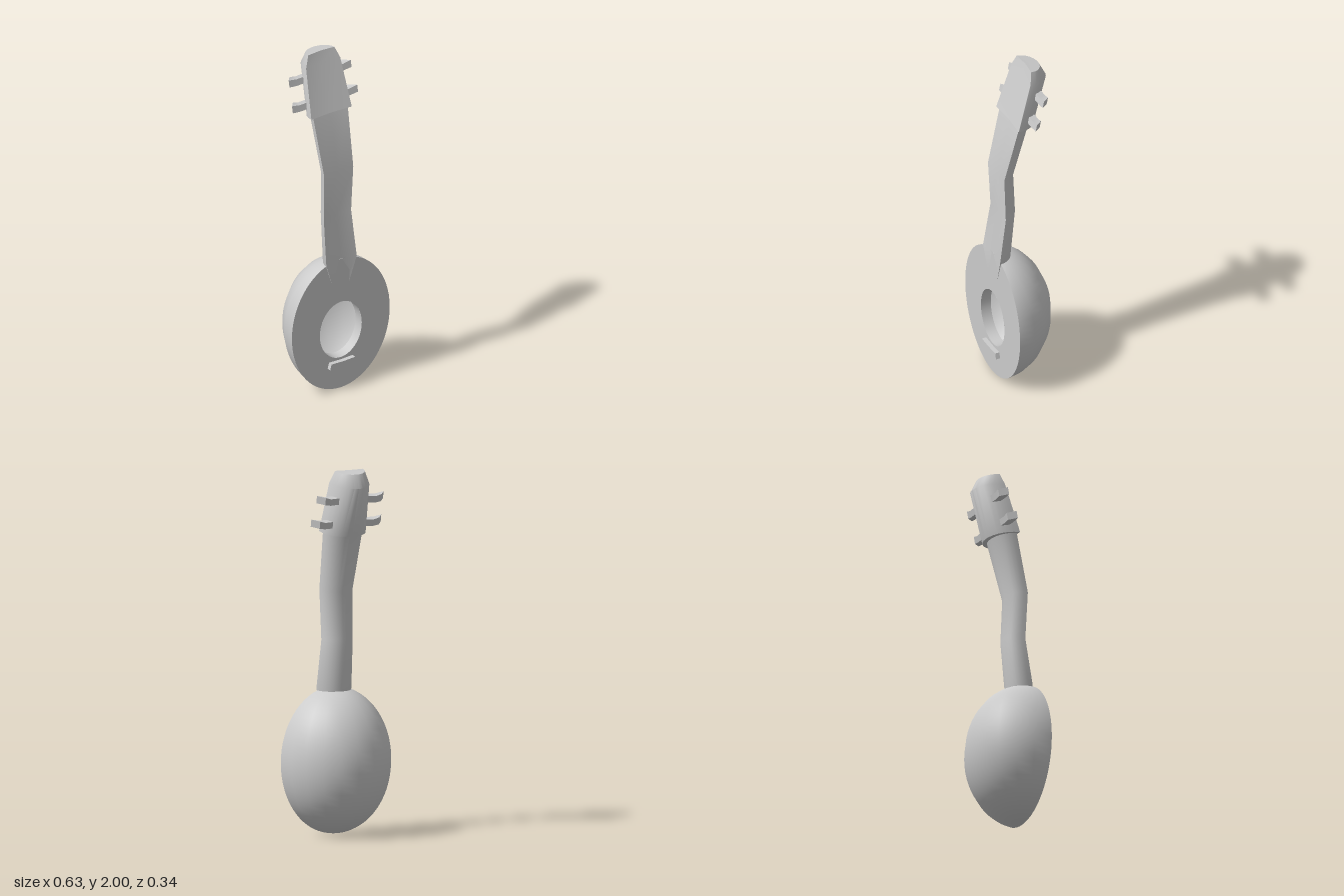
import * as THREE from 'three';
import { toCreasedNormals } from 'three/addons/utils/BufferGeometryUtils.js';

const grey = new THREE.MeshStandardMaterial({ color: 0xcccccc });
const greyDouble = new THREE.MeshStandardMaterial({ color: 0xcccccc, side: THREE.DoubleSide });

const FACE_Z = 0.145;

function addMesh(parent, name, geometry, material = grey) {
  const mesh = new THREE.Mesh(geometry, material);
  mesh.name = name;
  parent.add(mesh);
  return mesh;
}

// Skin a stack of closed rings (arrays of Vector3) and cap both ends
function loft(rings, crease) {
  const n = rings[0].length;
  const pos = [];
  const tri = (...pts) => pts.forEach((p) => pos.push(p.x, p.y, p.z));
  for (let i = 0; i < rings.length - 1; i++) {
    for (let j = 0; j < n; j++) {
      const k = (j + 1) % n;
      const a = rings[i][j], b = rings[i][k], c = rings[i + 1][k], d = rings[i + 1][j];
      tri(a, b, c);
      tri(a, c, d);
    }
  }
  const cap = (ring, flip) => {
    const mid = ring.reduce((s, p) => s.add(p), new THREE.Vector3()).divideScalar(n);
    for (let j = 0; j < n; j++) {
      const k = (j + 1) % n;
      if (flip) tri(mid, ring[k], ring[j]);
      else tri(mid, ring[j], ring[k]);
    }
  };
  cap(rings[0], true);
  cap(rings[rings.length - 1], false);
  const g = new THREE.BufferGeometry();
  g.setAttribute('position', new THREE.Float32BufferAttribute(pos, 3));
  return toCreasedNormals(g, crease);
}

// D-shaped section: round back, faintly hollowed front
function dRing([halfWidth, yFront, zFront, yBack, zBack]) {
  const ring = [];
  const steps = 14;
  for (let i = 0; i <= steps; i++) {
    const a = (Math.PI * i) / steps;
    const t = Math.pow(Math.sin(a), 0.9);
    ring.push(new THREE.Vector3(
      halfWidth * Math.cos(a),
      THREE.MathUtils.lerp(yFront, yBack, t),
      THREE.MathUtils.lerp(zFront, zBack, t)));
  }
  ring.push(new THREE.Vector3(0, yFront, zFront - 0.008));
  return ring;
}

function createBody() {
  const body = new THREE.Group();
  body.name = 'body';

  // Half-egg bowl, seen from inside through the sound hole
  const bowl = new THREE.SphereGeometry(1, 10, 32, Math.PI, Math.PI);
  bowl.scale(0.315, 0.4, 0.315);
  bowl.translate(0, 0.4, FACE_Z);
  addMesh(body, 'bowl', bowl, greyDouble);

  // Flat front with an oval hole
  const outline = new THREE.Shape();
  outline.absellipse(0, 0.4, 0.315, 0.4, 0, Math.PI * 2);
  const hole = new THREE.Path();
  hole.absellipse(0, 0.36, 0.135, 0.172, 0, Math.PI * 2);
  outline.holes.push(hole);
  const face = new THREE.ShapeGeometry(outline, 32);
  face.translate(0, 0, FACE_Z);
  addMesh(body, 'soundboard', face, greyDouble);

  // Wall of the hole
  const depth = 0.06;
  const wall = new THREE.CylinderGeometry(1, 1, depth, 48, 1, true);
  wall.rotateX(Math.PI / 2);
  wall.scale(0.135, 0.172, 1);
  wall.translate(0, 0.36, FACE_Z - depth / 2);
  addMesh(body, 'soundHoleWall', wall, greyDouble);

  // Bridge bar below the hole
  const bar = new THREE.Shape([
    [-0.085, 0.143], [0, 0.138], [0.085, 0.143],
    [0.076, 0.177], [0, 0.174], [-0.076, 0.177],
  ].map(([x, y]) => new THREE.Vector2(x, y)));
  const bridge = new THREE.ExtrudeGeometry(bar, { depth: 0.035, bevelEnabled: false });
  bridge.translate(0, 0, 0.135);
  addMesh(body, 'bridge', bridge);
  return body;
}

function createPegs() {
  const pegs = new THREE.Group();
  pegs.name = 'tuningPegs';
  // Section: [front x, back x, centre y, half height]
  const pegRing = (z, [xf, xb, y, h]) => [[-1, -1], [1, -1], [1, 1], [-1, 1]].map(([v, w]) =>
    new THREE.Vector3(w > 0 ? xf : xb, y + v * h + w * 0.004, z + w * 0.021 - v * 0.004));
  for (const [y, z, reach] of [[1.845, -0.078, 0.2], [1.711, -0.03, 0.21]]) {
    const rings = [
      [0.07, 0.07, y, 0.018],
      [reach - 0.05, reach - 0.065, y - 0.003, 0.018],
      [reach, reach - 0.033, y + 0.004, 0.02],
    ].map((s) => pegRing(z, s));
    const geometry = loft(rings, 0.3);
    for (const side of [1, -1]) {
      addMesh(pegs, side > 0 ? 'leftPeg' : 'rightPeg', geometry).scale.x = side;
    }
  }
  return pegs;
}

export function createModel() {
  const model = new THREE.Group();
  model.name = 'lute';
  model.add(createBody());

  // Sections: [half width, front y, front z, back y, back z]
  const neck = [
    [0.04, 0.6, 0.143, 0.6, 0.08],
    [0.098, 0.79, 0.152, 0.785, 0.05],
    [0.088, 1.06, 0.112, 1.07, 0.022],
    [0.094, 1.335, 0.124, 1.325, 0.035],
    [0.113, 1.69, 0.038, 1.66, -0.06],
  ];
  addMesh(model, 'neck', loft(neck.map(dRing), 0.7));

  const head = [
    [0.13, 1.662, 0.055, 1.64, -0.084],
    [0.11, 1.935, -0.027, 1.912, -0.165],
    [0.084, 2.0, -0.045, 1.985, -0.13],
  ];
  addMesh(model, 'pegHead', loft(head.map(dRing), 0.75));
  model.add(createPegs());
  return model;
}
